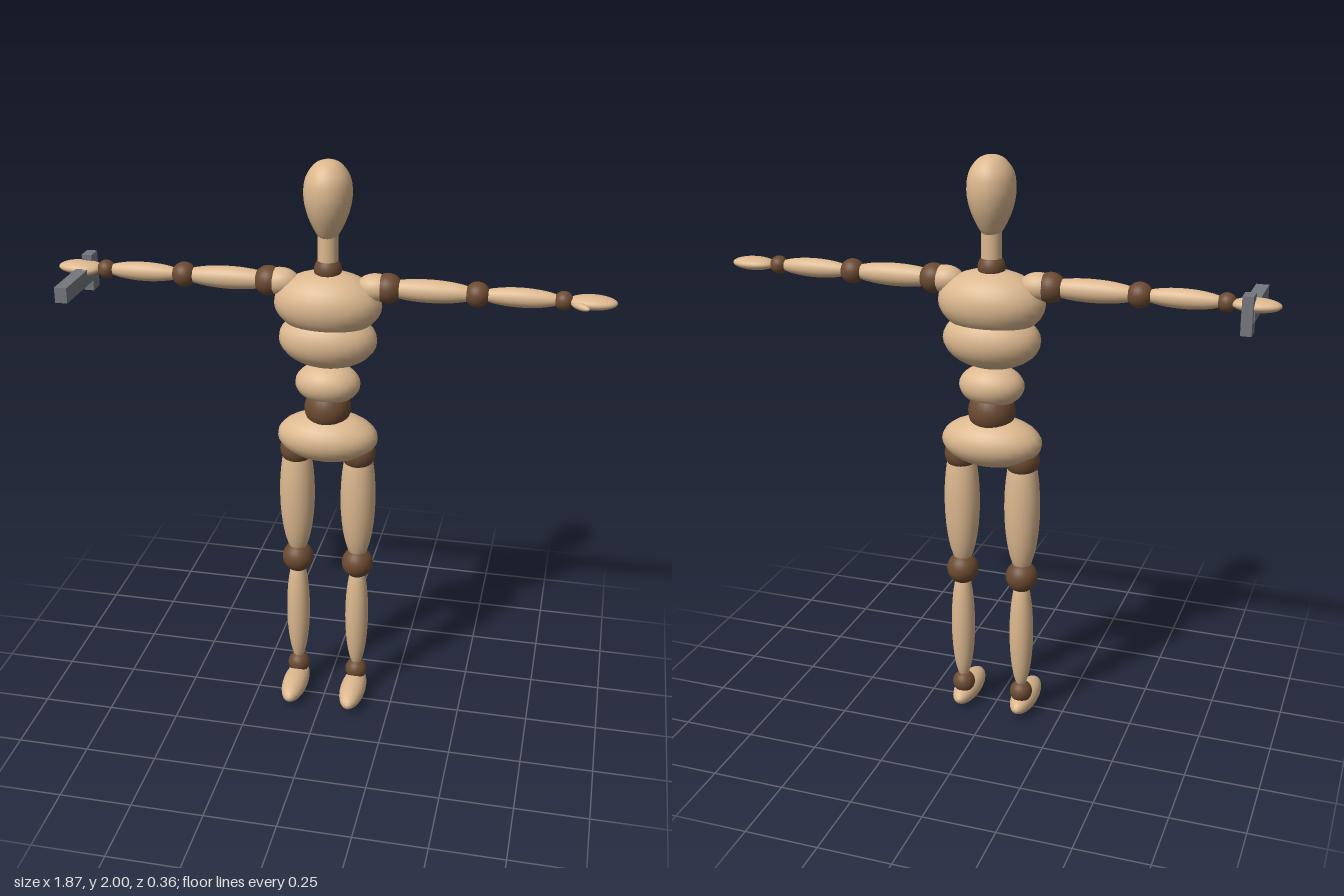
import * as THREE from 'three';

export function createModel() {
  const mat = (name, color) => {
    const m = new THREE.MeshStandardMaterial({ color });
    m.name = name;
    return m;
  };
  const wood = mat('light wood', 0xdcb88f);
  const joint = mat('dark wood', 0x6b4a31);
  const metal = mat('grey metal', 0x74777d);

  const root = new THREE.Group();
  root.name = 'jointedMannequin';
  const Z = -0.056; // body plane

  const add = (name, geo, material, x, y, z, parent = root) => {
    const mesh = new THREE.Mesh(geo, material);
    mesh.name = name;
    mesh.position.set(x, y, z);
    parent.add(mesh);
    return mesh;
  };
  // Ellipsoid with radii rx, ry, rz
  const blob = (name, material, x, y, z, rx, ry, rz, parent) =>
    add(name, new THREE.SphereGeometry(1, 24, 16).scale(rx, ry, rz), material, x, y, z, parent);
  const ball = (name, x, y, r, parent) => blob(name, joint, x, y, Z, r, r, r, parent);

  // Egg-shaped head: smooth profile, slightly deeper than wide
  const profile = new THREE.SplineCurve([
    [0, 1.735], [0.026, 1.746], [0.05, 1.785], [0.07, 1.835], [0.079, 1.89],
    [0.072, 1.945], [0.046, 1.984], [0.02, 1.998], [0, 2.0],
  ].map(([r, y]) => new THREE.Vector2(r, y))).getPoints(24);
  profile.forEach((p) => { p.x = Math.max(p.x, 0); });
  add('head', new THREE.LatheGeometry(profile, 28).scale(1, 1, 1.12), wood, 0, 0, Z);
  add('neck', new THREE.CylinderGeometry(0.034, 0.034, 0.15, 24), wood, 0, 1.695, Z);
  ball('neckJoint', 0, 1.64, 0.046);

  // Torso
  blob('chest', wood, 0, 1.525, Z, 0.182, 0.11, 0.121);
  blob('ribs', wood, 0, 1.4, Z, 0.167, 0.1, 0.113);
  blob('abdomen', wood, 0, 1.24, Z, 0.112, 0.072, 0.085);
  ball('waistJoint', 0, 1.15, 0.08);
  blob('pelvis', wood, 0, 1.043, Z, 0.175, 0.088, 0.113);

  // Limbs, mirrored
  for (const s of [1, -1]) {
    const side = s > 0 ? 'left' : 'right';
    const arm = new THREE.Group();
    arm.name = side + 'Arm';
    const leg = new THREE.Group();
    leg.name = side + 'Leg';
    root.add(arm, leg);

    const ay = 1.589;
    blob('shoulderCap', wood, s * 0.16, ay, Z, 0.065, 0.046, 0.048, arm);
    ball('shoulderJoint', s * 0.2, ay, 0.05, arm);
    blob('upperArm', wood, s * 0.335, ay, Z, 0.165, 0.038, 0.038, arm);
    ball('elbowJoint', s * 0.491, ay, 0.042, arm);
    blob('forearm', wood, s * 0.63, ay, Z, 0.136, 0.032, 0.032, arm);
    ball('wristJoint', s * 0.765, ay, 0.031, arm);
    blob('hand', wood, s * 0.856, ay, Z - 0.004, 0.079, 0.022, 0.046, arm);
    const thumb = blob('thumb', wood, s * 0.819, ay - 0.004, -0.022, 0.04, 0.012, 0.014, arm);
    thumb.rotation.y = -s * 0.75;

    const lx = s * 0.109;
    ball('hipJoint', lx, 0.985, 0.059, leg);
    blob('thigh', wood, lx, 0.812, Z, 0.062, 0.25, 0.058, leg);
    ball('kneeJoint', lx, 0.55, 0.056, leg);
    blob('shin', wood, lx, 0.332, Z, 0.042, 0.225, 0.042, leg);
    ball('ankleJoint', lx, 0.092, 0.04, leg);
    blob('foot', wood, lx, 0.042, 0.002, 0.046, 0.042, 0.122, leg);
  }

  // Held tool: long bar with an upright block behind the hand
  const tool = new THREE.Group();
  tool.name = 'heldTool';
  root.add(tool);
  add('toolBar', new THREE.BoxGeometry(0.042, 0.052, 0.28), metal, -0.838, 1.569, 0.04, tool);
  add('toolGrip', new THREE.BoxGeometry(0.035, 0.125, 0.055), metal, -0.838, 1.567, -0.094, tool);

  return root;
}
